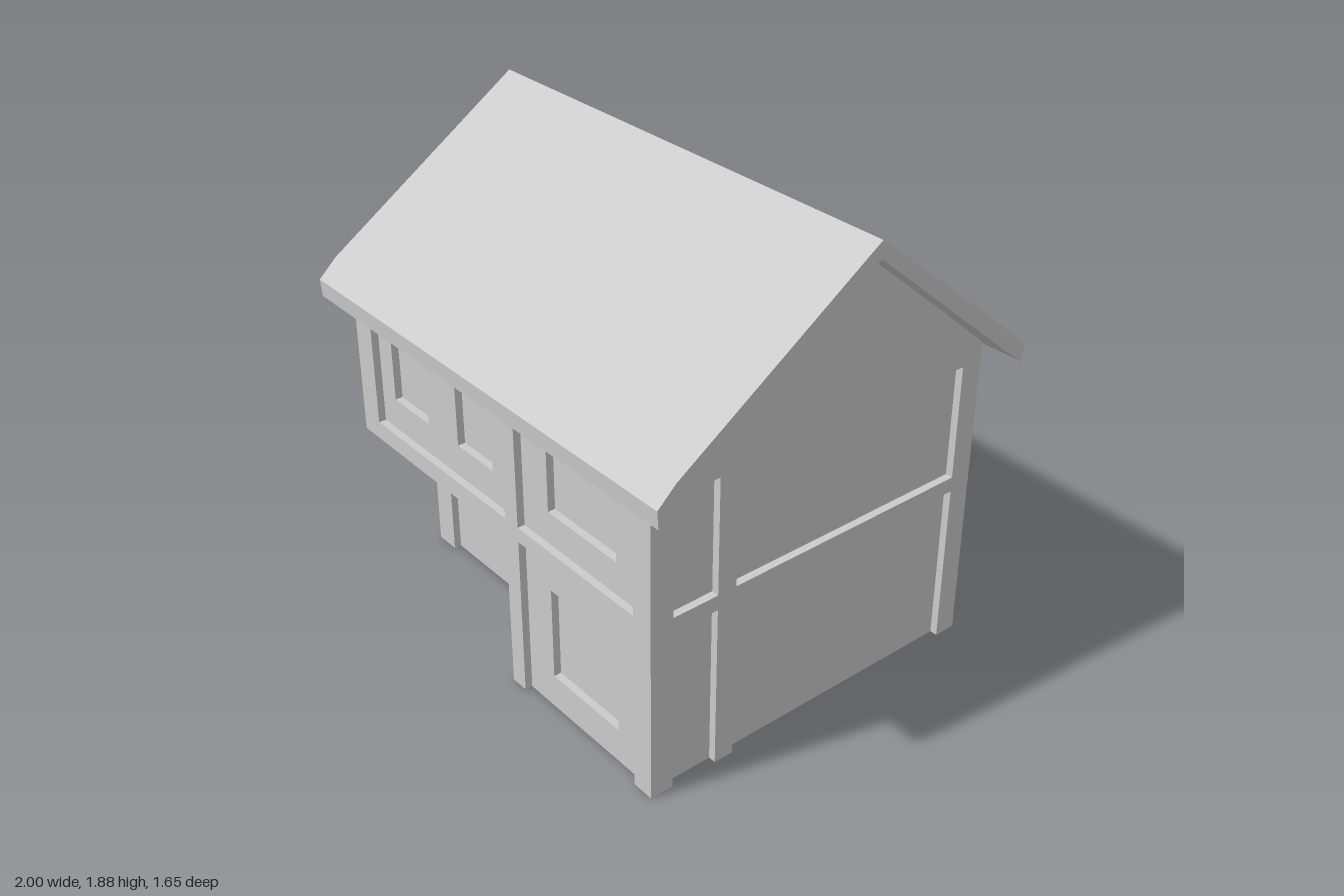
import * as THREE from 'three';
import { mergeGeometries } from 'three/addons/utils/BufferGeometryUtils.js';

const material = new THREE.MeshStandardMaterial({
  color: 0xcccccc, flatShading: true, side: THREE.DoubleSide,
});

const W = 0.88, FRONT = 0.755, BACK = -0.745;   // outer wall planes
const EAVE = 1.25, RIDGE_Z = -0.07;
const PORCH_X = 0.07, PORCH_Y = 0.645, PORCH_Z = 0.46;
const DEPTH = 0.03;                              // panel and window recess

const rect = (x0, x1, y0, y1) => [[x0, y0], [x1, y0], [x1, y1], [x0, y1]];
const recess = (x0, x1, y0, y1, inner = [], depth = DEPTH) =>
  ({ x0, x1, y0, y1, inner, depth });

// Flat face with recesses; the outline starts with its bottom left and bottom right corners.
// Recesses standing on the bottom edge become notches, the others holes.
function faceGeometries(outline, recesses, z = 0) {
  const base = outline[0][1];
  const points = [outline[0]];
  const holes = [], parts = [];
  for (const r of [...recesses].sort((a, b) => a.x0 - b.x0)) {
    const corners = rect(r.x0, r.x1, r.y0, r.y1);
    const grounded = r.y0 === base;
    if (grounded) points.push(corners[0], corners[3], corners[2], corners[1]);
    else holes.push(corners);
    // reveals around the recess
    for (let i = grounded ? 1 : 0; i < 4; i++) {
      const [a, b] = [corners[i], corners[(i + 1) % 4]];
      const g = new THREE.BufferGeometry().setFromPoints([
        [...a, z], [...b, z], [...b, z - r.depth],
        [...a, z], [...b, z - r.depth], [...a, z - r.depth],
      ].map((p) => new THREE.Vector3(...p)));
      g.computeVertexNormals();
      parts.push(g);
    }
    // recessed plane, which may hold windows or a door itself
    parts.push(...faceGeometries(corners, r.inner, z - r.depth));
  }
  points.push(...outline.slice(1));
  const toVec = (list) => list.map((p) => new THREE.Vector2(...p));
  const shape = new THREE.Shape(toVec(points));
  shape.holes = holes.map((h) => new THREE.Path(toVec(h)));
  const face = new THREE.ShapeGeometry(shape).toNonIndexed();
  face.deleteAttribute('uv');
  face.translate(0, 0, z);
  return [face, ...parts];
}

export function createModel() {
  const house = new THREE.Group();
  house.name = 'house';

  function addWall(name, outline, recesses, position, turn = 0) {
    const mesh = new THREE.Mesh(mergeGeometries(faceGeometries(outline, recesses)), material);
    mesh.name = name;
    mesh.position.set(...position);
    mesh.rotation.y = turn;
    house.add(mesh);
  }

  // Front wall: upper floor over the porch, and full height beside it
  const window = (x0, x1, y0, y1) => recess(x0, x1, y0, y1);
  addWall('frontUpperWall', rect(-W, PORCH_X, PORCH_Y, EAVE), [
    recess(-0.775, 0.069, 0.72, 1.18, [
      window(-0.685, -0.455, 0.85, 1.11), window(-0.26, -0.04, 0.85, 1.11),
    ]),
  ], [0, 0, FRONT]);
  addWall('frontWall', rect(PORCH_X, W, 0, EAVE), [
    recess(0.145, 0.79, 0, 0.66, [window(0.29, 0.665, 0.14, 0.52)]),
    recess(0.145, 0.79, 0.72, 1.18, [window(0.29, 0.665, 0.85, 1.11)]),
  ], [0, 0, FRONT]);

  // Porch: set-back wall with a raised door, corner post, side wall and soffit
  const porchWallZ = PORCH_Z - DEPTH;
  addWall('porchWall', rect(-0.775, PORCH_X, 0, PORCH_Y),
    [recess(-0.26, -0.04, 0, 0.44, [], -0.02)], [0, 0, porchWallZ]);
  addWall('porchPost', rect(-W, -0.775, 0, PORCH_Y), [], [0, 0, PORCH_Z]);
  addWall('porchPostSide', rect(-PORCH_Z, -porchWallZ, 0, PORCH_Y), [],
    [-0.775, 0, 0], Math.PI / 2);
  addWall('porchSideWall', rect(porchWallZ, FRONT, 0, PORCH_Y), [],
    [PORCH_X, 0, 0], -Math.PI / 2);
  const soffit = new THREE.Mesh(
    new THREE.PlaneGeometry(PORCH_X + W, FRONT - porchWallZ).rotateX(Math.PI / 2), material);
  soffit.name = 'porchSoffit';
  soffit.position.set((PORCH_X - W) / 2, PORCH_Y, (FRONT + porchWallZ) / 2);
  house.add(soffit);

  // Back wall: two columns of panels on two floors
  const backPanels = [[-0.79, -0.145], [-0.085, 0.775]].flatMap(([a, b]) =>
    [recess(a, b, 0, 0.66), recess(a, b, 0.72, 1.18)]);
  addWall('backWall', rect(-W, W, 0, EAVE), backPanels, [0, 0, BACK], Math.PI);

  // Gable walls; the one on the porch side is stepped
  addWall('leftGableWall',
    [[-FRONT, 0], [-BACK, 0], [-BACK, EAVE], [-RIDGE_Z, 1.83], [-FRONT, EAVE]],
    [[-0.66, -0.47], [-0.39, 0.655]].flatMap(([a, b]) =>
      [recess(a, b, 0, 0.66), recess(a, b, 0.72, 1.18)]),
    [W, 0, 0], Math.PI / 2);
  addWall('rightGableWall',
    [[BACK, 0], [PORCH_Z, 0], [PORCH_Z, PORCH_Y], [FRONT, PORCH_Y], [FRONT, EAVE],
      [RIDGE_Z, 1.83], [BACK, EAVE]],
    [recess(-0.655, 0.39, 0, 0.66), recess(-0.655, 0.39, 0.72, 1.18),
      recess(0.47, 0.66, 0.72, 1.18)],
    [-W, 0, 0], -Math.PI / 2);

  // Roof: bent slab with drooping eaves, extruded along the ridge
  const profile = [
    [0.82, 1.195], [0.825, 1.265], [0.75, 1.335], [RIDGE_Z, 1.885],
    [-0.75, 1.335], [-0.825, 1.265], [-0.82, 1.195], [-0.745, 1.255],
    [RIDGE_Z, 1.82], [0.745, 1.255],
  ].map(([z, y]) => new THREE.Vector2(-z, y));
  const roof = new THREE.Mesh(new THREE.ExtrudeGeometry(new THREE.Shape(profile),
    { depth: 2, bevelEnabled: false }).translate(0, 0, -1), material);
  roof.name = 'roof';
  roof.rotation.y = Math.PI / 2;
  house.add(roof);

  return house;
}
